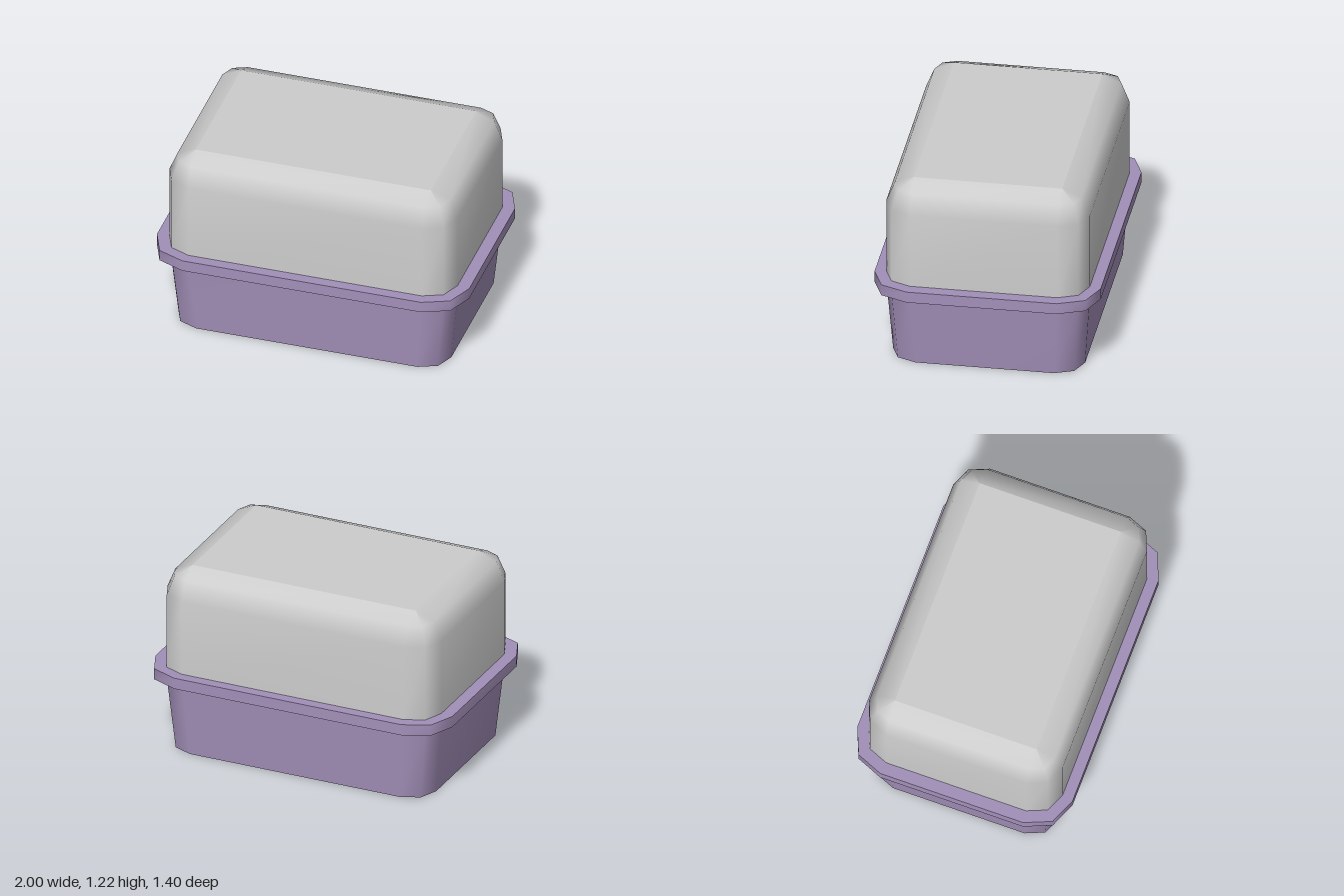
import * as THREE from 'three';

const CORNER_STEPS = 2;

// Rectangle with rounded corners in the xz plane, as a loop of [x, z]
function ring(hx, hz, r) {
  const pts = [];
  const signs = [[1, 1], [-1, 1], [-1, -1], [1, -1]];
  signs.forEach(([sx, sz], q) => {
    for (let i = 0; i <= CORNER_STEPS; i++) {
      const a = (q + i / CORNER_STEPS) * Math.PI / 2;
      pts.push([sx * (hx - r) + r * Math.cos(a), sz * (hz - r) + r * Math.sin(a)]);
    }
  });
  return pts;
}

// Smooth wall through rings listed from bottom to top: [y, halfX, halfZ, cornerRadius]
function wall(levels) {
  const pos = [], index = [];
  const n = 4 * (CORNER_STEPS + 1);
  levels.forEach(([y, hx, hz, r], k) => {
    ring(hx, hz, r).forEach(([x, z]) => pos.push(x, y, z));
    if (k === 0) return;
    for (let i = 0; i < n; i++) {
      const j = (i + 1) % n, lo = (k - 1) * n, hi = k * n;
      index.push(lo + i, hi + i, lo + j, lo + j, hi + i, hi + j);
    }
  });
  const geo = new THREE.BufferGeometry();
  geo.setAttribute('position', new THREE.Float32BufferAttribute(pos, 3));
  geo.setIndex(index);
  geo.computeVertexNormals();
  return geo;
}

// Flat cap closing a ring, facing up or down
function cap([y, hx, hz, r], up) {
  const shape = new THREE.Shape(ring(hx, hz, r).map(([x, z]) => new THREE.Vector2(x, z)));
  const geo = new THREE.ShapeGeometry(shape);
  geo.rotateX(up ? -Math.PI / 2 : Math.PI / 2);
  geo.translate(0, y, 0);
  return geo;
}

// Closed solid: smooth wall with crisp flat ends
function solid(name, levels, material) {
  const group = new THREE.Group();
  group.name = name;
  const add = (part, geo) => {
    const mesh = new THREE.Mesh(geo, material);
    mesh.name = name + part;
    group.add(mesh);
  };
  add('Wall', wall(levels));
  add('Bottom', cap(levels[0], false));
  add('Top', cap(levels[levels.length - 1], true));
  return group;
}

export function createModel() {
  const purple = new THREE.MeshStandardMaterial({ color: 0xa28fb8 });
  purple.name = 'mutedPurple';
  const grey = new THREE.MeshStandardMaterial({ color: 0xcccccc });
  grey.name = 'lightGrey';

  const model = new THREE.Group();
  model.name = 'lunchBox';

  // Tapered tub
  model.add(solid('tub', [
    [0, 0.874, 0.594, 0.166],
    [0.48, 0.922, 0.63, 0.175],
  ], purple));

  // Projecting rim
  model.add(solid('rim', [
    [0.478, 1, 0.7, 0.236],
    [0.55, 1, 0.7, 0.236],
  ], purple));

  // Tall lid with rounded shoulders
  model.add(solid('lid', [
    [0.54, 0.922, 0.63, 0.175],
    [1.04, 0.922, 0.63, 0.175],
    [1.164, 0.871, 0.579, 0.124],
    [1.216, 0.752, 0.46, 0.005],
  ], grey));

  return model;
}
